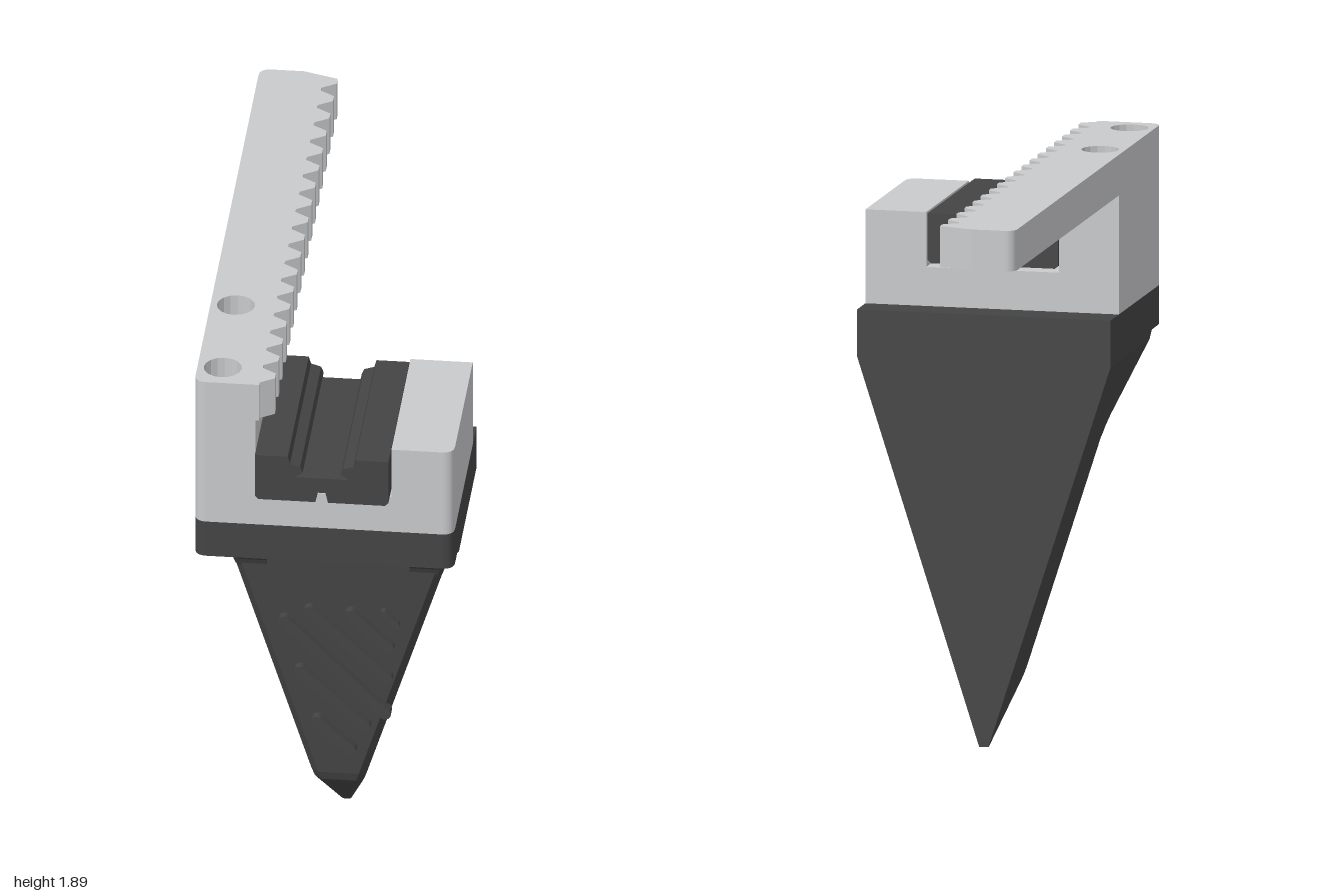
import * as THREE from 'three';

const light = new THREE.MeshStandardMaterial({ color: 0xc9cacc });
light.name = 'lightGrey';
const dark = new THREE.MeshStandardMaterial({ color: 0x444444 });
dark.name = 'darkGrey';

// Extrude a plan shape (x, z) between two heights
function slab(shape, y0, y1) {
  const g = new THREE.ExtrudeGeometry(shape, { depth: y1 - y0, bevelEnabled: false, curveSegments: 8 });
  return g.rotateX(Math.PI / 2).translate(0, y1, 0);
}

// Plan rectangle; rounded front corners on the chosen sides
function plan(x0, x1, z0, z1, rLeft, rRight) {
  const s = new THREE.Shape();
  s.moveTo(x0, z0);
  s.lineTo(x1, z0);
  s.lineTo(x1, z1 - rRight);
  if (rRight) s.quadraticCurveTo(x1, z1, x1 - rRight, z1);
  s.lineTo(x0 + rLeft, z1);
  if (rLeft) s.quadraticCurveTo(x0, z1, x0, z1 - rLeft);
  s.closePath();
  return s;
}

// Faceted solid through horizontal rings of [x, z], each at its own height
function loft(rings, heights) {
  const pos = [];
  const n = rings[0].length;
  const put = (r, i) => pos.push(rings[r][i % n][0], heights[r], rings[r][i % n][1]);
  for (let r = 0; r < rings.length - 1; r++) {
    for (let i = 0; i < n; i++) {
      put(r, i); put(r + 1, i); put(r + 1, i + 1);
      put(r, i); put(r + 1, i + 1); put(r, i + 1);
    }
  }
  const top = rings.length - 1;
  for (let i = 1; i < n - 1; i++) {
    put(0, 0); put(0, i); put(0, i + 1);
    put(top, 0); put(top, i + 1); put(top, i);
  }
  const g = new THREE.BufferGeometry();
  g.setAttribute('position', new THREE.Float32BufferAttribute(pos, 3));
  g.computeVertexNormals();
  return g;
}

const halfWidth = (y) => Math.min(0.41, 0.015 + 0.395 * y / 1.23);

export function createModel() {
  const model = new THREE.Group();
  model.name = 'gripperFinger';
  const add = (name, geometry, material) => {
    const mesh = new THREE.Mesh(geometry, material);
    mesh.name = name;
    model.add(mesh);
    return mesh;
  };

  // Tapered blade with chamfered front edges
  const back = 0.26;
  const bladeSteps = [[0, 0.27], [0.18, 0.475], [0.2, 0.492], [0.23, 0.5], [1, 0.505], [1.23, 0.505], [1.26, 0.505]];
  add('blade', loft(bladeSteps.map(([y, z]) => {
    const w = halfWidth(y);
    const c = Math.min(0.025, w * 0.5, (z - back) * 0.5);
    return [[-w, back], [w, back], [w, z - c], [w - c, z], [-w + c, z], [-w, z - c]];
  }), bladeSteps.map((s) => s[0])), dark);

  // Sloping braces on both sides under the plate
  const braceSteps = [[0.97, 0.5], [1, 0.512], [1.03, 0.535], [1.23, 0.79], [1.256, 0.82]];
  for (const side of [-1, 1]) {
    const rings = braceSteps.map(([y, z]) => {
      const w = halfWidth(y);
      const ring = [[0.225, 0.45], [w, 0.45], [w, z - 0.015], [w - 0.015, z], [0.225, z]];
      return side > 0 ? ring : ring.map(([x, d]) => [-x, d]).reverse();
    });
    add(side > 0 ? 'leftBrace' : 'rightBrace', loft(rings, braceSteps.map((s) => s[0])), dark);
  }

  // Mounting plate
  add('mountingPlate', slab(plan(-0.41, 0.41, back, 0.93, 0.04, 0.04), 1.255, 1.38), dark);

  // Diagonal grip ribs: start x, y and end x, y
  const ribs = [
    [-0.17, 0.79, 0.15, 0.47], [-0.09, 0.83, 0.155, 0.6], [0.04, 0.825, 0.16, 0.71],
    [0.145, 0.835, 0.185, 0.795], [-0.12, 0.61, 0.085, 0.42], [-0.065, 0.43, 0.04, 0.33],
  ];
  for (const [x0, y0, x1, y1] of ribs) {
    const len = Math.hypot(x1 - x0, y1 - y0);
    const r = len < 0.1 ? 0.01 : 0.018;
    const s = new THREE.Shape();
    s.absarc(len / 2, 0, r, -Math.PI / 2, Math.PI / 2, false);
    s.absarc(-len / 2, 0, r, Math.PI / 2, Math.PI * 1.5, false);
    const g = new THREE.ExtrudeGeometry(s, { depth: 0.04, bevelEnabled: false, curveSegments: 6 });
    const rib = add('gripRib', g, dark);
    rib.rotation.z = Math.atan2(y1 - y0, x1 - x0);
    rib.position.set((x0 + x1) / 2, (y0 + y1) / 2, 0.49);
  }

  // U-shaped carriage: floor, tall arm and short arm
  add('carriageFloor', slab(plan(-0.41, 0.41, 0.37, 0.93, 0.04, 0.04), 1.38, 1.505), light);
  add('tallArm', slab(plan(-0.41, -0.217, 0.37, 0.93, 0.04, 0), 1.505, 1.76), light);
  add('shortArm', slab(plan(0.213, 0.41, 0.37, 0.93, 0, 0.04), 1.505, 1.68), light);

  // Toothed rack with two screw holes
  const rack = new THREE.Shape();
  rack.moveTo(-0.41, -0.96);
  rack.quadraticCurveTo(-0.41, -1, -0.37, -1);
  rack.lineTo(-0.27, -1);
  rack.lineTo(-0.16, -0.965);
  for (let i = 0; i < 18; i++) {
    const z = -0.95 + i * 0.107;
    if (i > 0) {
      rack.lineTo(-0.205, z - 0.045);
      rack.lineTo(-0.16, z - 0.015);
    }
    rack.lineTo(-0.16, z + 0.015);
    rack.lineTo(-0.205, z + 0.045);
  }
  rack.lineTo(-0.205, 0.93);
  rack.lineTo(-0.37, 0.93);
  rack.quadraticCurveTo(-0.41, 0.93, -0.41, 0.89);
  rack.closePath();
  for (const z of [0.45, 0.835]) {
    const hole = new THREE.Path();
    hole.absarc(-0.33, z, 0.06, 0, Math.PI * 2, true);
    rack.holes.push(hole);
  }
  add('rack', slab(rack, 1.76, 1.89), light);

  // Slider rail: mirrored half profile with a grooved top and a small slot below
  const half = [
    [0.02, 1.515], [0.2, 1.515], [0.211, 1.526], [0.211, 1.675], [0.107, 1.675], [0.1, 1.65],
    [0.068, 1.64], [0.06, 1.62], [0.085, 1.602],
  ];
  const slot = [[-0.012, 1.55], [0.012, 1.55]];
  const mirrored = half.map(([x, y]) => [-x, y]).reverse();
  const outline = [...half, ...mirrored, ...slot].map(([x, y]) => new THREE.Vector2(x, y));
  const rail = new THREE.ExtrudeGeometry(new THREE.Shape(outline), { depth: 0.62, bevelEnabled: false });
  add('sliderRail', rail.translate(0, 0, 0.38), dark);

  return model;
}
